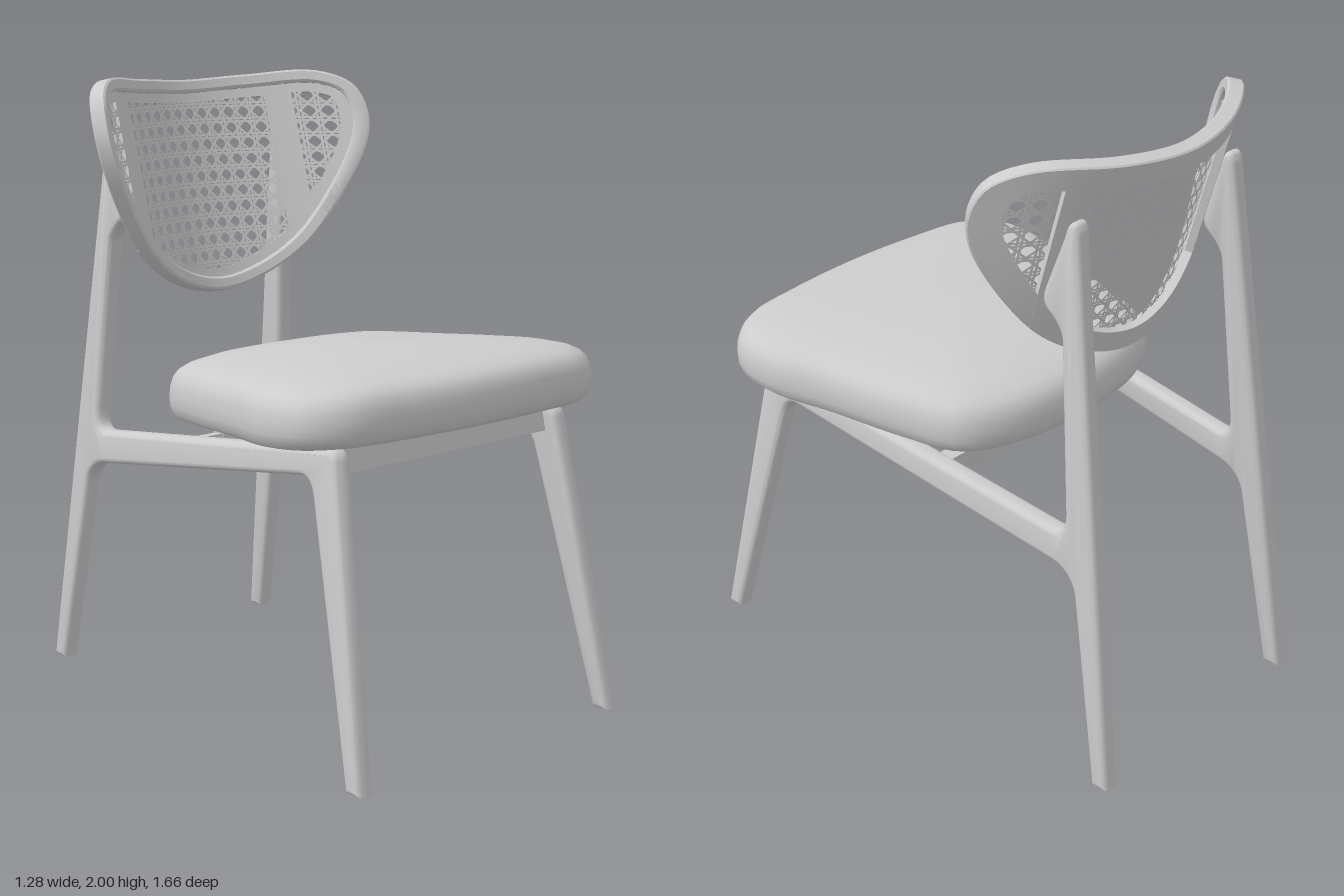
import * as THREE from 'three';
import { toCreasedNormals } from 'three/addons/utils/BufferGeometryUtils.js';

const paleGrey = new THREE.MeshStandardMaterial({ color: 0xcccccc, side: THREE.DoubleSide });
paleGrey.name = 'pale grey';

// Skin between rings of points; each ring is closed, the row of rings optionally so
function loft(rings, closed) {
  const n = rings[0].length, m = rings.length, index = [];
  for (let i = 0; i < (closed ? m : m - 1); i++) {
    for (let j = 0; j < n; j++) {
      const i2 = (i + 1) % m, j2 = (j + 1) % n;
      const a = i * n + j, b = i2 * n + j, c = i2 * n + j2, d = i * n + j2;
      index.push(a, b, c, a, c, d);
    }
  }
  const geo = new THREE.BufferGeometry();
  geo.setAttribute('position', new THREE.Float32BufferAttribute(rings.flat(2), 3));
  geo.setIndex(index);
  geo.computeVertexNormals();
  return geo;
}

// Closed smooth outline from half of it, mirrored in x (first and last point on the axis)
function mirroredOutline(half, count) {
  const other = half.slice(1, -1).reverse().map(([x, y]) => [-x, y]);
  const pts = [...half, ...other].map(([x, y]) => new THREE.Vector3(x, y, 0));
  return new THREE.CatmullRomCurve3(pts, true, 'centripetal').getSpacedPoints(count).slice(0, count);
}

// Curved, leaning surface of the backrest; d is the offset towards the front
function onBack(x, y, d) {
  const gx = 1.73 * x, gy = -0.29, len = Math.hypot(gx, gy, 1);
  const z = -0.475 + gy * (y - 1.28) + 0.865 * x * x;
  return [x - gx / len * d, y - gy / len * d, z + d / len];
}

function insetOutline(pts, amount) {
  return pts.map((p, i) => {
    const a = pts[(i + pts.length - 1) % pts.length], b = pts[(i + 1) % pts.length];
    const tx = b.x - a.x, ty = b.y - a.y, len = Math.hypot(tx, ty);
    return [p.x - ty / len * amount, p.y + tx / len * amount];
  });
}

function inside(poly, x, y) {
  let hit = false;
  for (let i = 0, j = poly.length - 1; i < poly.length; j = i++) {
    const [xi, yi] = poly[i], [xj, yj] = poly[j];
    if ((yi > y) !== (yj > y) && x < (xj - xi) * (y - yi) / (yj - yi) + xi) hit = !hit;
  }
  return hit;
}

// Octagonal cane weave: paired upright and level strands, single diagonals
function caneGeometry(border) {
  const pos = [], index = [], pitch = 0.052, step = 0.013, half = 0.0034;
  function strand(angle, offset, d) {
    const dx = Math.cos(angle), dy = Math.sin(angle);
    let previous = -1;
    for (let t = -0.85; t < 0.85; t += step) {
      const x = dx * t - dy * offset, y = 1.65 + dy * t + dx * offset;
      if (!inside(border, x, y)) { previous = -1; continue; }
      const k = pos.length / 3;
      pos.push(...onBack(x - dy * half, y + dx * half, d), ...onBack(x + dy * half, y - dx * half, d));
      if (previous >= 0) index.push(previous, previous + 1, k + 1, previous, k + 1, k);
      previous = k;
    }
  }
  for (let k = -20; k <= 20; k++) {
    for (const side of [-0.1, 0.1]) {
      strand(0, (k + 0.5 + side) * pitch, 0.004);
      strand(Math.PI / 2, (k + 0.5 + side) * pitch, 0.006);
    }
    for (const shift of [0, 0.5]) {
      // diagonals lie midway between neighbouring hole centres
      const o = (k + shift) * pitch * Math.SQRT2 + pitch * Math.SQRT1_2 / 2;
      strand(Math.PI / 4, o, 0.008);
      strand(-Math.PI / 4, o, 0.010);
    }
  }
  const geo = new THREE.BufferGeometry();
  geo.setAttribute('position', new THREE.Float32BufferAttribute(pos, 3));
  geo.setIndex(index);
  geo.computeVertexNormals();
  return geo;
}

// Front leg, rail and back leg of one side as a single rounded, splayed piece
function sideFrameGeometry(sign) {
  const s = new THREE.Shape();
  const line = (z, y) => s.lineTo(-z, y);
  const bend = (cz, cy, z, y) => s.quadraticCurveTo(-cz, cy, -z, y);
  s.moveTo(-0.83, 0);
  line(0.645, 0.95);
  bend(0.635, 0.99, 0.59, 0.983);
  line(-0.55, 0.835);
  bend(-0.61, 0.825, -0.607, 0.9);
  line(-0.56, 1.46);
  bend(-0.55, 1.5, -0.505, 1.53);
  bend(-0.475, 1.555, -0.49, 1.6);
  line(-0.55, 1.77);
  bend(-0.56, 1.82, -0.58, 1.82);
  bend(-0.6, 1.82, -0.603, 1.77);
  line(-0.83, 0);
  line(-0.77, 0);
  line(-0.66, 0.63);
  bend(-0.645, 0.71, -0.57, 0.722);
  line(0.49, 0.885);
  bend(0.54, 0.893, 0.555, 0.83);
  line(0.77, 0);
  s.closePath();
  const geo = new THREE.ExtrudeGeometry(s, {
    depth: 0.024, bevelThickness: 0.021, bevelSize: 0.02, bevelOffset: -0.02,
    bevelSegments: 4, curveSegments: 8,
  });
  geo.translate(0, 0, -0.012).rotateY(Math.PI / 2);
  const p = geo.attributes.position;
  for (let i = 0; i < p.count; i++) {
    const y = p.getY(i), z = p.getZ(i);
    const t = THREE.MathUtils.clamp((z + 0.57) / 1.1, 0, 1);
    const x = THREE.MathUtils.lerp(0.445 - 0.05 * y, 0.545 - 0.08 * y, t);
    p.setX(i, p.getX(i) + sign * x);
  }
  return toCreasedNormals(geo, 0.6);
}

export function createModel() {
  const chair = new THREE.Group();
  chair.name = 'chair';
  const add = (name, geo, x = 0, y = 0, z = 0) => {
    const mesh = new THREE.Mesh(geo, paleGrey);
    mesh.name = name;
    mesh.position.set(x, y, z);
    chair.add(mesh);
    return mesh;
  };

  // Seat cushion: outline in x and z, scaled up through a padded profile
  const seatOutline = mirroredOutline([
    [0, -0.31], [0.18, -0.298], [0.33, -0.262], [0.45, -0.19], [0.52, 0], [0.585, 0.27],
    [0.64, 0.47], [0.625, 0.62], [0.52, 0.715], [0.3, 0.752], [0, 0.768],
  ], 96);
  const seatProfile = [
    [0, 0], [0.9, 0], [0.955, 0.006], [0.985, 0.022], [0.998, 0.05], [1, 0.08], [0.995, 0.11],
    [0.98, 0.138], [0.95, 0.16], [0.9, 0.177], [0.8, 0.194], [0.6, 0.212], [0.3, 0.224], [0, 0.228],
  ];
  add('seatCushion', loft(seatProfile.map(([s, h]) => seatOutline.map((p) => {
    const z = 0.23 + (p.y - 0.23) * s;
    return [p.x * s, 0.95 + 0.065 * z + h, z];
  })), false));

  // Side frames
  add('leftSideFrame', sideFrameGeometry(1));
  add('rightSideFrame', sideFrameGeometry(-1));

  // Cross rails and the small blocks that carry the seat
  add('frontRail', new THREE.BoxGeometry(0.92, 0.085, 0.05), 0, 0.94, 0.58).rotation.x = -0.13;
  add('rearRail', new THREE.BoxGeometry(0.84, 0.08, 0.05), 0, 0.85, -0.09).rotation.x = -0.13;
  for (const sign of [-1, 1]) {
    add('seatBlock', new THREE.BoxGeometry(0.06, 0.08, 0.05), sign * 0.3, 0.92, -0.09);
  }

  // Backrest rim with a rebate for the cane
  const backOutline = mirroredOutline([
    [0, 1.275], [0.17, 1.31], [0.33, 1.405], [0.46, 1.565], [0.555, 1.75], [0.572, 1.86],
    [0.545, 1.95], [0.46, 1.992], [0.23, 1.98], [0, 1.968],
  ], 128);
  const rimSection = [
    [0.004, -0.027], [0, -0.022], [0, 0.019], [0.007, 0.025], [0.034, 0.025],
    [0.042, 0.018], [0.042, -0.002], [0.072, -0.002], [0.072, -0.027],
  ];
  const sectionLoops = rimSection.map(([inset]) => insetOutline(backOutline, inset));
  const rimRings = backOutline.map((_, i) =>
    rimSection.map(([, d], j) => onBack(...sectionLoops[j][i], d)));
  add('backrestRim', toCreasedNormals(loft(rimRings, true), 0.6));

  // Upright bars behind the cane, where the back legs join
  for (const sign of [-1, 1]) {
    const bar = new THREE.BoxGeometry(0.08, 0.49, 0.025, 4, 12, 1);
    const p = bar.attributes.position;
    for (let i = 0; i < p.count; i++) {
      const y = p.getY(i) + 1.695;
      p.setXYZ(i, ...onBack(p.getX(i) + sign * 0.335, y, p.getZ(i) - 0.0145));
    }
    add('backrestBar', toCreasedNormals(bar, 0.6));
  }

  add('backrestCane', caneGeometry(insetOutline(backOutline, 0.036)));
  return chair;
}
